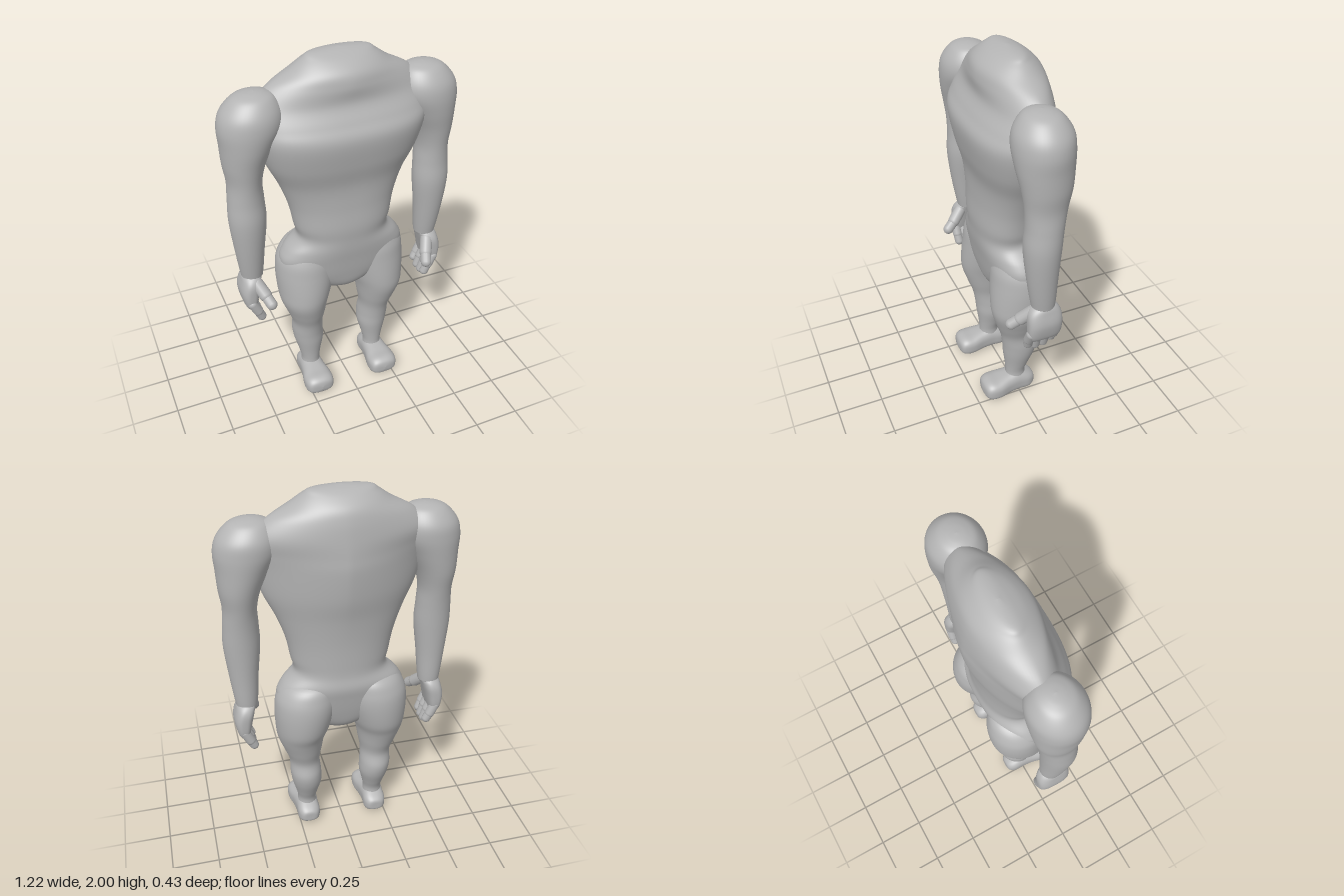
import * as THREE from 'three';

const skin = new THREE.MeshStandardMaterial({ color: 0xb4b4b4 });
skin.name = 'plain grey';

const spow = (v, e) => Math.sign(v) * Math.pow(Math.abs(v), e);

// Smooth loft through rows [y, centreX, halfWidth, zFront, zBack, frontPower, backPower], bottom to top
function loft(rows, side = 1, around = 48, steps = 6) {
  const pos = [], idx = [];
  const at = i => rows[Math.max(0, Math.min(rows.length - 1, i))];
  const rings = (rows.length - 1) * steps + 1;
  for (let k = 0; k < rings; k++) {
    const i = Math.min(Math.floor(k / steps), rows.length - 2), t = k / steps - i;
    const [y, cx, w, zf, zb, nf, nb] = at(i).map((p1, c) => {
      const p0 = at(i - 1)[c], p2 = at(i + 1)[c], p3 = at(i + 2)[c];
      return p1 + 0.5 * t * (p2 - p0 + t * (2 * p0 - 5 * p1 + 4 * p2 - p3 + t * (3 * (p1 - p2) + p3 - p0)));
    });
    const zm = (zf + zb) / 2, d = (zf - zb) / 2;
    for (let j = 0; j < around; j++) {
      const a = j / around * Math.PI * 2, n = Math.sin(a) >= 0 ? nf : nb;
      pos.push(side * cx + Math.max(w, 0) * spow(Math.cos(a), 2 / n), y, zm + d * spow(Math.sin(a), 2 / n));
      if (k < rings - 1) {
        const p = k * around + j, q = k * around + (j + 1) % around;
        idx.push(p, p + around, q, p + around, q + around, q);
      }
    }
  }
  const g = new THREE.BufferGeometry();
  g.setAttribute('position', new THREE.Float32BufferAttribute(pos, 3));
  g.setIndex(idx);
  g.computeVertexNormals();
  return g;
}

function add(parent, name, geometry) {
  const m = new THREE.Mesh(geometry, skin);
  m.name = name;
  parent.add(m);
  return m;
}

// Rounded digit between two points
function digit(parent, name, a, b, r) {
  const A = new THREE.Vector3(...a), B = new THREE.Vector3(...b), dir = B.clone().sub(A);
  const m = add(parent, name, new THREE.CapsuleGeometry(r, dir.length(), 8, 16));
  m.position.copy(A).add(B).multiplyScalar(0.5);
  m.quaternion.setFromUnitVectors(new THREE.Vector3(0, 1, 0), dir.normalize());
}

const torsoRows = [
  [0.65, 0, 0, 0.02, -0.02, 2, 2],
  [0.66, 0, 0.08, 0.07, -0.07, 2, 2],
  [0.70, 0, 0.18, 0.11, -0.11, 2, 2],
  [0.78, 0, 0.31, 0.13, -0.135, 2.3, 2.2],
  [0.88, 0, 0.345, 0.145, -0.155, 2.3, 2.2],
  [0.95, 0, 0.315, 0.155, -0.165, 2.3, 2.2],
  [1.02, 0, 0.25, 0.16, -0.155, 2.3, 2.2],
  [1.10, 0, 0.262, 0.165, -0.155, 2.3, 2.1],
  [1.22, 0, 0.285, 0.16, -0.16, 2.3, 2],
  [1.35, 0, 0.33, 0.165, -0.175, 2.4, 1.8],
  [1.48, 0, 0.39, 0.195, -0.2, 2.5, 1.6],
  [1.62, 0, 0.43, 0.213, -0.212, 2.5, 1.5],
  [1.70, 0, 0.44, 0.18, -0.208, 2.4, 1.5],
  [1.78, 0, 0.43, 0.14, -0.2, 2.1, 1.6],
  [1.86, 0, 0.36, 0.142, -0.187, 1.7, 1.7],
  [1.92, 0, 0.25, 0.125, -0.165, 1.9, 1.9],
  [1.965, 0, 0.185, 0.075, -0.12, 2, 2],
  [1.99, 0, 0.14, 0.02, -0.075, 2, 2],
  [2.0, 0, 0, -0.02, -0.03, 2, 2],
];

const armRows = [
  [0.845, 0.503, 0, 0, 0, 2, 2],
  [0.847, 0.503, 0.05, 0.055, -0.05, 2, 2],
  [0.87, 0.503, 0.06, 0.066, -0.06, 2, 2],
  [1.03, 0.506, 0.077, 0.092, -0.065, 2, 2],
  [1.20, 0.505, 0.094, 0.11, -0.075, 2, 2],
  [1.32, 0.504, 0.09, 0.105, -0.085, 2, 2],
  [1.42, 0.502, 0.086, 0.108, -0.1, 2, 2],
  [1.52, 0.496, 0.104, 0.122, -0.12, 2, 2],
  [1.62, 0.475, 0.13, 0.14, -0.132, 2, 2],
  [1.71, 0.453, 0.156, 0.147, -0.138, 2, 2],
  [1.78, 0.443, 0.147, 0.135, -0.13, 2, 2],
  [1.84, 0.432, 0.105, 0.095, -0.09, 2, 2],
  [1.863, 0.428, 0.055, 0.05, -0.045, 2, 2],
  [1.87, 0.425, 0, 0.005, 0, 2, 2],
];

const palmRows = [
  [0.655, 0.528, 0, 0.01, 0, 2, 2],
  [0.66, 0.528, 0.022, 0.07, -0.06, 3, 3],
  [0.69, 0.532, 0.035, 0.09, -0.082, 3, 3],
  [0.76, 0.53, 0.049, 0.094, -0.088, 2.8, 2.8],
  [0.82, 0.517, 0.051, 0.088, -0.083, 2.6, 2.6],
  [0.86, 0.505, 0.046, 0.055, -0.055, 2, 2],
  [0.88, 0.503, 0, 0, 0, 2, 2],
];

const legRows = [
  [0.06, 0.197, 0, 0, 0, 2, 2],
  [0.07, 0.197, 0.05, 0.06, -0.05, 2, 2],
  [0.14, 0.196, 0.051, 0.062, -0.05, 2, 2],
  [0.20, 0.196, 0.063, 0.066, -0.072, 2, 2],
  [0.28, 0.197, 0.082, 0.076, -0.104, 2, 2],
  [0.35, 0.202, 0.086, 0.082, -0.115, 2, 2],
  [0.43, 0.205, 0.084, 0.095, -0.1, 2, 2],
  [0.51, 0.212, 0.104, 0.122, -0.122, 2, 2],
  [0.60, 0.22, 0.128, 0.148, -0.15, 2, 2],
  [0.68, 0.212, 0.146, 0.152, -0.18, 2, 2],
  [0.80, 0.197, 0.164, 0.143, -0.192, 2, 2],
  [0.89, 0.185, 0.16, 0.132, -0.182, 2, 2],
  [0.96, 0.165, 0.12, 0.1, -0.145, 2, 2],
  [1.0, 0.15, 0, 0, -0.03, 2, 2],
];

// Foot profile runs heel to toe; front is the sole and back the instep before it is laid flat
const footRows = [
  [-0.1, 0.197, 0, -0.04, -0.06, 3, 2.5],
  [-0.095, 0.197, 0.04, -0.02, -0.085, 3, 2.5],
  [-0.06, 0.197, 0.062, -0.002, -0.11, 3.5, 2.5],
  [0.0, 0.198, 0.064, -0.002, -0.135, 3.5, 2.2],
  [0.06, 0.199, 0.07, -0.003, -0.125, 3.5, 2.4],
  [0.12, 0.2, 0.082, 0, -0.114, 3.5, 2.6],
  [0.17, 0.2, 0.08, -0.002, -0.11, 3.5, 2.6],
  [0.2, 0.199, 0.06, -0.015, -0.092, 3, 2.5],
  [0.21, 0.198, 0, -0.045, -0.06, 3, 2.5],
];

export function createModel() {
  const model = new THREE.Group();
  model.name = 'headlessFigure';
  add(model, 'torso', loft(torsoRows, 1, 72));

  for (const [s, label] of [[1, 'left'], [-1, 'right']]) {
    add(model, label + 'Arm', loft(armRows, s));
    add(model, label + 'Leg', loft(legRows, s));
    add(model, label + 'Foot', loft(footRows, s).rotateX(Math.PI / 2));

    // Hand with curled fingers and a forward, inward thumb
    const hand = new THREE.Group();
    hand.name = label + 'Hand';
    add(hand, 'palm', loft(palmRows, s));
    [[-0.06, 0.61], [-0.014, 0.588], [0.032, 0.586], [0.074, 0.6]].forEach(([z, tip]) => {
      digit(hand, 'finger', [s * 0.532, 0.7, z], [s * 0.505, 0.645, z], 0.027);
      digit(hand, 'fingertip', [s * 0.505, 0.645, z], [s * 0.487, tip, z * 0.95], 0.0245);
    });
    digit(hand, 'thumbBase', [s * 0.495, 0.815, 0.055], [s * 0.468, 0.765, 0.105], 0.034);
    digit(hand, 'thumb', [s * 0.468, 0.765, 0.105], [s * 0.45, 0.73, 0.148], 0.029);
    model.add(hand);
  }
  return model;
}
